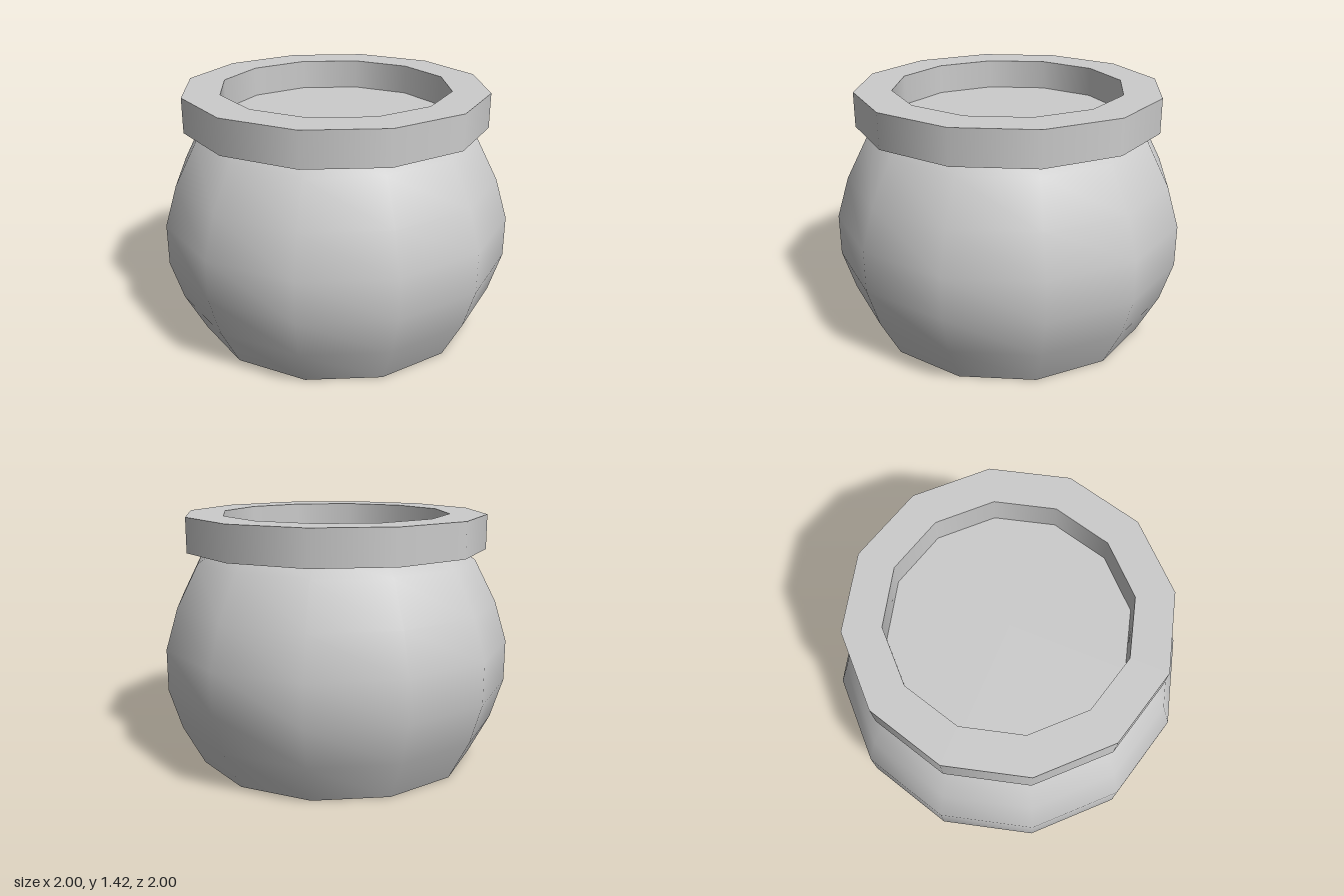
import * as THREE from 'three';
import { mergeGeometries } from 'three/addons/utils/BufferGeometryUtils.js';

const SIDES = 12;

// Revolves each profile strip separately: smooth within a strip, sharp between strips
function turned(name, strips, material) {
  const parts = strips.map((strip) =>
    new THREE.LatheGeometry(strip.map(([r, y]) => new THREE.Vector2(r, y)), SIDES));
  const mesh = new THREE.Mesh(mergeGeometries(parts), material);
  mesh.name = name;
  return mesh;
}

export function createModel() {
  const group = new THREE.Group();
  group.name = 'pot';
  const material = new THREE.MeshStandardMaterial({ color: 0xcccccc });

  // Rounded pot body with flat base and flat top
  const base = [0.81, 0];
  const shoulder = [0.68, 1.25];
  group.add(turned('body', [
    [[0, 0], base],
    [base, [0.93, 0.23], [1, 0.46], [1, 0.695], [0.93, 0.925], [0.807, 1.163], shoulder],
    [shoulder, [0, 1.25]],
  ], material));

  // Flat-topped rim ring: outer wall, top, inner wall, underside
  const corners = [[0.865, 1.225], [0.865, 1.42], [0.655, 1.42], [0.655, 1.225]];
  group.add(turned('rim', corners.map((c, i) => [c, corners[(i + 1) % 4]]), material));

  return group;
}
